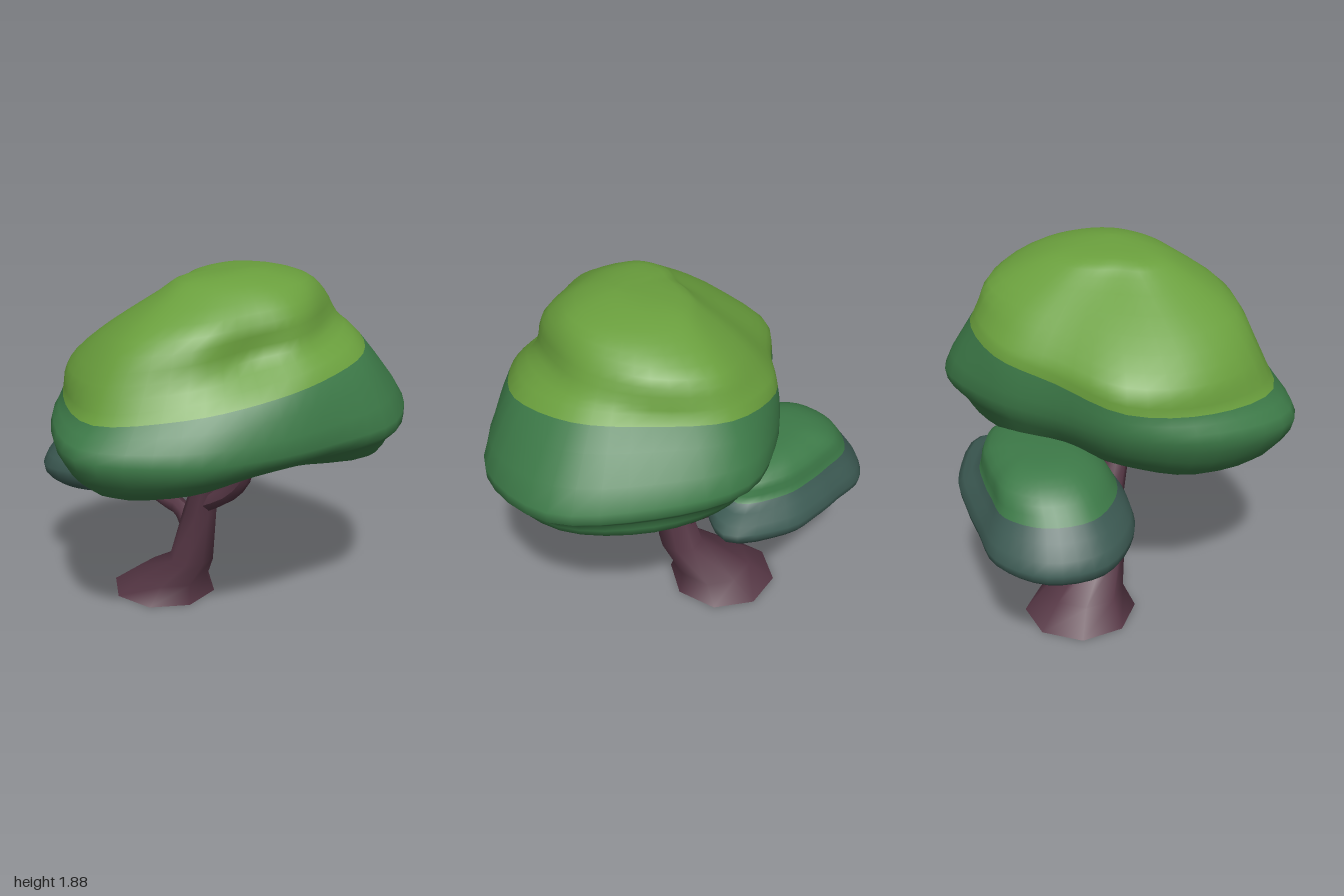
import * as THREE from 'three';
import { mergeVertices } from 'three/addons/utils/BufferGeometryUtils.js';

const paint = (name, color) => Object.assign(new THREE.MeshStandardMaterial({ color }), { name });
const lime = paint('lime leaf', 0x6a9f3d);
const green = paint('green leaf', 0x3d7a48);
const slate = paint('slate leaf', 0x3d5b54);
const bark = paint('bark', 0x553644);
bark.side = THREE.DoubleSide; // the foot of the stem is open

// The front left of the main crown hangs lower: 1 inside that lobe, 0 outside
const lobe = (x, z) => THREE.MathUtils.smoothstep(0.3 - x, 0, 0.4) * THREE.MathUtils.smoothstep(z, -0.05, 0.3);

// Ring of points around (cx, cz), angles running from +x towards +z; height is a sloping plane minus sag in the lobe
const ring = (cx, cz, radii, [a, b = 0, c = 0, sag = 0]) => radii.map((r, i) => {
  const t = (i / radii.length) * Math.PI * 2;
  const x = cx + r * Math.cos(t), z = cz + r * Math.sin(t);
  return new THREE.Vector3(x, a + b * x + c * z - sag * lobe(x, z), z);
});

// Skin over rings listed from bottom to top; pick(band, angle 0..1) gives the material index
function loft(rings, rowSub, colSub, materials, pick) {
  const cols = rings[0].length * colSub, rows = (rings.length - 1) * rowSub;
  const loops = rings.map(r => {
    const curve = new THREE.CatmullRomCurve3(r, true, 'catmullrom', 0.5);
    return Array.from({ length: cols }, (_, i) => curve.getPoint(i / cols));
  });
  const pos = [];
  const columns = Array.from({ length: cols }, (_, c) =>
    new THREE.CatmullRomCurve3(loops.map(l => l[c]), false, 'catmullrom', 0.5));
  for (let r = 0; r <= rows; r++)
    for (let c = 0; c < cols; c++) pos.push(...columns[c].getPoint(r / rows).toArray());
  const faces = materials.map(() => []);
  for (let r = 0; r < rows; r++)
    for (let c = 0; c < cols; c++) {
      const n = (c + 1) % cols;
      const a = r * cols + c, b = a + cols, d = r * cols + n, e = d + cols;
      faces[pick(Math.floor(r / rowSub), (c + 0.5) / cols)].push(a, b, d, b, e, d);
    }
  let geo = new THREE.BufferGeometry();
  geo.setAttribute('position', new THREE.Float32BufferAttribute(pos, 3));
  geo.setIndex(faces.flat());
  geo = mergeVertices(geo);
  let start = 0;
  faces.forEach((f, i) => { geo.addGroup(start, f.length, i); start += f.length; });
  geo.computeVertexNormals();
  return new THREE.Mesh(geo, materials);
}

// Tapered tube along points [x, y, z, radius]
function branch(name, points) {
  const curve = new THREE.CatmullRomCurve3(points.map(p => new THREE.Vector3(p[0], p[1], p[2])));
  const seg = (points.length - 1) * 2, sides = 7;
  const geo = new THREE.TubeGeometry(curve, seg, 1, sides);
  const pos = geo.attributes.position, v = new THREE.Vector3();
  for (let i = 0; i < pos.count; i++) {
    const t = Math.floor(i / (sides + 1)) / seg;
    const centre = curve.getPointAt(t);
    const r = THREE.MathUtils.lerp(points[0][3], points[points.length - 1][3], t);
    v.fromBufferAttribute(pos, i).sub(centre).multiplyScalar(r).add(centre);
    pos.setXYZ(i, v.x, v.y, v.z);
  }
  geo.computeVertexNormals();
  const mesh = new THREE.Mesh(geo, bark);
  mesh.name = name;
  return mesh;
}

const scaled = (radii, k) => radii.map(r => r * k);

function mainCrown() {
  const inner = [0.58, 0.28, 0.26, 0.32, 0.38, 0.34, 0.31, 0.28, 0.44, 0.4, 0.35, 0.43];
  const under = [0.75, 0.42, 0.4, 0.54, 0.68, 0.61, 0.54, 0.46, 0.58, 0.68, 0.75, 0.8];
  const lower = [0.82, 0.6, 0.59, 0.72, 0.86, 0.78, 0.69, 0.57, 0.66, 0.78, 0.81, 0.88];
  const rim = [0.88, 0.72, 0.71, 0.81, 0.965, 0.87, 0.77, 0.64, 0.72, 0.86, 0.865, 0.95];
  const paintLine = [0.7, 0.64, 0.635, 0.71, 0.85, 0.805, 0.765, 0.635, 0.69, 0.72, 0.665, 0.7];
  const shelf = [0.53, 0.51, 0.46, 0.61, 0.77, 0.77, 0.73, 0.6, 0.64, 0.68, 0.63, 0.6];
  const dome = [0.48, 0.47, 0.45, 0.55, 0.64, 0.6, 0.52, 0.46, 0.53, 0.62, 0.59, 0.53];
  const cap = [0.4, 0.35, 0.32, 0.34, 0.37, 0.32, 0.24, 0.26, 0.33, 0.43, 0.45, 0.43];
  const at = (radii, plane) => ring(0.1, 0, radii, plane);
  const mesh = loft([
    at(scaled(rim, 0), [0.965]),
    at(inner, [0.965, 0, -0.02, 0.07]),
    at(under, [0.955, 0.01, -0.06, 0.05]),
    at(lower, [1.05, 0, -0.08, 0.04]),
    at(rim, [1.18, -0.02, -0.07]),
    at(paintLine, [1.4, 0.11, -0.13]),
    at(shelf, [1.52, 0.12, -0.08]),
    at(dome, [1.66, 0.12, -0.03]),
    at(cap, [1.79, 0.07]),
    at(scaled(cap, 0.58), [1.85, 0.06]),
    ring(0.22, 0, scaled(cap, 0), [1.88]),
  ], 3, 4, [lime, green, slate], (band, t) => {
    if (band >= 5) return 0;
    return band === 1 && t > 0.68 ? 2 : 1; // slate patch on the underside
  });
  mesh.name = 'mainCrown';
  return mesh;
}

function smallCrown() {
  const rim = [0.45, 0.38, 0.38, 0.4, 0.48, 0.55, 0.54, 0.47, 0.37, 0.38, 0.49, 0.65];
  const paintLine = [0.38, 0.32, 0.31, 0.34, 0.38, 0.43, 0.42, 0.37, 0.29, 0.29, 0.36, 0.48];
  const at = (radii, plane) => ring(-0.45, -0.38, radii, plane);
  const mound = (k, plane) => ring(-0.42, -0.4, scaled(paintLine, k), plane);
  const mesh = loft([
    at(scaled(rim, 0), [0.62]),
    at(scaled(rim, 0.6), [0.65, 0.08]),
    at(scaled(rim, 0.87), [0.68, 0.1, -0.05]),
    at(rim, [0.82, 0.13]),
    at(paintLine, [0.9, 0.03]),
    mound(0.85, [0.995, 0.02]),
    mound(0.5, [1.045]),
    mound(0, [1.055]),
  ], 3, 4, [green, slate], band => (band >= 4 ? 0 : 1));
  mesh.name = 'smallCrown';
  return mesh;
}

function trunk() {
  const group = new THREE.Group();
  group.name = 'trunk';
  // Leaning stem: x, y, z, radius
  const stem = loft([
    [-0.28, 0, -0.21, 0.29], [-0.23, 0.1, -0.185, 0.205], [-0.085, 0.26, -0.08, 0.12],
    [-0.03, 0.55, -0.05, 0.09], [0.02, 0.75, 0, 0.07], [0.1, 1.0, 0.03, 0.05],
  ].map(([x, y, z, r]) => ring(x, z, Array(8).fill(r), [y])), 1, 1, [bark], () => 0);
  stem.name = 'stem';
  group.add(stem,
    branch('frontBranch', [[0.01, 0.62, -0.02, 0.058], [0.15, 0.71, 0.06, 0.04], [0.255, 0.84, 0.14, 0.03], [0.3, 1.0, 0.19, 0.022]]),
    branch('backBranch', [[0.01, 0.7, -0.03, 0.036], [-0.03, 0.83, -0.05, 0.03], [-0.055, 1.0, -0.07, 0.026]]),
    branch('lowBranch', [[-0.06, 0.41, -0.07, 0.065], [-0.17, 0.495, -0.18, 0.05], [-0.31, 0.52, -0.25, 0.035], [-0.37, 0.57, -0.28, 0.03], [-0.44, 0.68, -0.3, 0.02]]),
    branch('lowTwig', [[-0.31, 0.52, -0.25, 0.03], [-0.28, 0.59, -0.31, 0.024], [-0.275, 0.69, -0.35, 0.02]]));
  return group;
}

export function createModel() {
  const tree = new THREE.Group();
  tree.name = 'tree';
  tree.add(mainCrown(), smallCrown(), trunk());
  return tree;
}
